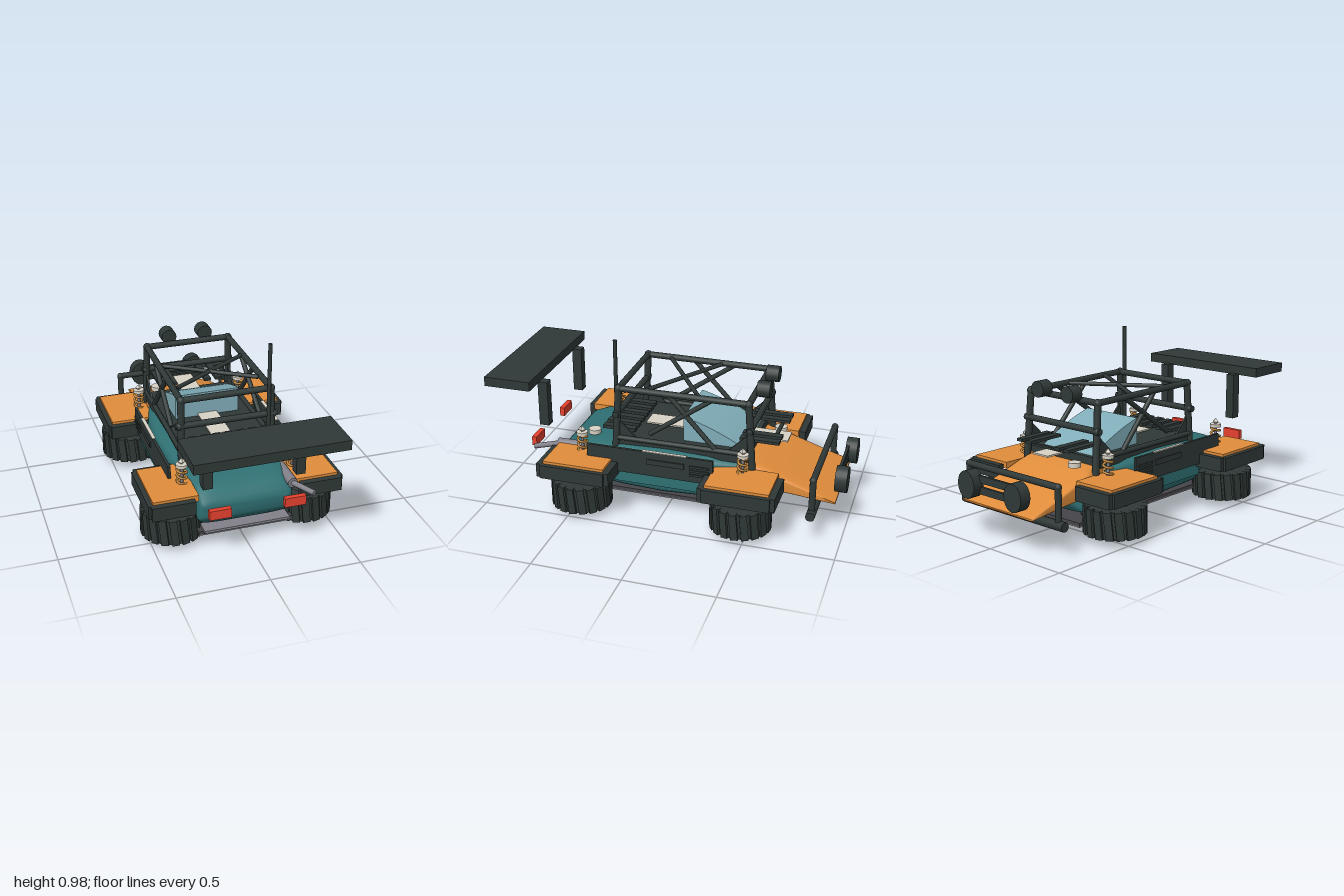
import * as THREE from 'three';

const mat = (name, color) => {
  const m = new THREE.MeshStandardMaterial({ color });
  m.name = name;
  return m;
};

export function createModel() {
  const root = new THREE.Group();
  root.name = 'offRoadBuggy';
  const dark = mat('dark trim', 0x2f3937), teal = mat('teal paint', 0x2f7073);
  const orange = mat('orange paint', 0xe08d3c), glass = mat('pale blue glass', 0x80adb9);
  const red = mat('red lamp', 0xee4430), cream = mat('cream', 0xd8d2c5);
  const grey = mat('grey metal', 0x82818a), floor = mat('underbody grey', 0x46464a);
  const gold = mat('spring gold', 0xc08a42);

  const add = (name, geo, m, x = 0, y = 0, z = 0, parent = root) => {
    const mesh = new THREE.Mesh(geo, m);
    mesh.name = name;
    mesh.position.set(x, y, z);
    parent.add(mesh);
    return mesh;
  };
  // box from its low and high limits on each axis
  const box = (name, m, x0, x1, y0, y1, z0, z1) => add(name,
    new THREE.BoxGeometry(Math.abs(x1 - x0), y1 - y0, z1 - z0), m, (x0 + x1) / 2, (y0 + y1) / 2, (z0 + z1) / 2);
  // round bar between two points
  const rod = (name, m, a, b, r, sides = 12) => {
    const p = new THREE.Vector3(...a), d = new THREE.Vector3(...b).sub(p);
    const mesh = add(name, new THREE.CylinderGeometry(r, r, d.length(), sides), m);
    mesh.position.copy(p).addScaledVector(d, 0.5);
    mesh.quaternion.setFromUnitVectors(new THREE.Vector3(0, 1, 0), d.normalize());
    return mesh;
  };
  // closed shell through rounded sections [z, half width, bottom, top], z falling
  const loft = (name, m, sections, power) => {
    const N = 32, pos = [], idx = [];
    const round = v => Math.sign(v) * Math.abs(v) ** power;
    for (const [z, w, y0, y1] of sections)
      for (let i = 0; i < N; i++) {
        const t = (i + 0.5) / N * Math.PI * 2;
        pos.push(w * round(Math.cos(t)), (y0 + y1) / 2 + (y1 - y0) / 2 * round(Math.sin(t)), z);
      }
    for (let s = 0; s < sections.length - 1; s++)
      for (let i = 0; i < N; i++) {
        const a = s * N + i, b = s * N + (i + 1) % N;
        idx.push(a, a + N, b, b, a + N, b + N);
      }
    // end caps share the rim so the ends stay smooth
    const last = (sections.length - 1) * N;
    for (let i = 1; i < N - 1; i++) idx.push(0, i, i + 1, last, last + i + 1, last + i);
    const g = new THREE.BufferGeometry();
    g.setAttribute('position', new THREE.Float32BufferAttribute(pos, 3));
    g.setIndex(idx);
    g.computeVertexNormals();
    return add(name, g, m);
  };

  // Body, nose and underside
  loft('bodyTub', teal, [[0.638, 0.235, 0.19, 0.262], [0.625, 0.255, 0.165, 0.29], [0.595, 0.265, 0.13, 0.322],
    [0.52, 0.272, 0.12, 0.352], [0.4, 0.285, 0.12, 0.37], [0.25, 0.315, 0.12, 0.385], [0, 0.335, 0.12, 0.39],
    [-0.25, 0.31, 0.12, 0.385], [-0.45, 0.26, 0.12, 0.36], [-0.56, 0.25, 0.13, 0.3]], 0.34);
  loft('noseHood', orange, [[-0.42, 0.262, 0.22, 0.378], [-0.55, 0.262, 0.21, 0.345], [-0.7, 0.262, 0.205, 0.29],
    [-0.85, 0.262, 0.196, 0.236], [-0.95, 0.262, 0.19, 0.203]], 0.25);
  box('skidPlate', floor, -0.265, 0.265, 0.081, 0.1, -0.62, 0.62);
  box('skidPlateBase', grey, -0.264, 0.264, 0.075, 0.081, -0.619, 0.619);
  box('skidPlateLip', grey, -0.24, 0.24, 0.1, 0.114, 0.56, 0.645);
  box('cockpitDeck', dark, -0.265, 0.265, 0.36, 0.41, -0.46, 0.28);
  box('centreStripe', cream, -0.058, 0.058, 0.418, 0.427, -0.64, 0.18);

  // Wedge canopy with a gently bowed top
  const wedge = new THREE.Shape();
  wedge.moveTo(0.08, 0.41);
  wedge.lineTo(0.43, 0.41);
  wedge.quadraticCurveTo(0.26, 0.51, 0.08, 0.555);
  wedge.closePath();
  const canopy = add('canopy', new THREE.ExtrudeGeometry(wedge, { depth: 0.376, bevelEnabled: false, curveSegments: 8 }), glass, -0.188);
  canopy.rotation.y = Math.PI / 2;

  // Louvre slats on both decks
  for (let i = 0; i < 6; i++) {
    const x = -0.175 + i * 0.07;
    box('rearSlat', dark, x - 0.021, x + 0.021, 0.422, 0.442, 0.2, 0.39);
    if (i !== 2 && i !== 3) box('hoodSlat', dark, x - 0.021, x + 0.021, 0.462, 0.478, -0.62, -0.4);
  }
  box('hoodSlatBrace', dark, -0.12, 0.12, 0.444, 0.456, -0.585, -0.565);
  for (const [x, z] of [[0.17, 0.45], [-0.17, -0.555]])
    add('fillerCap', new THREE.CylinderGeometry(0.035, 0.035, 0.026, 20), cream, x, 0.386, z);

  // Wheels lying flat, with tread lugs round the rim
  const wheel = (x, z) => {
    const g = new THREE.Group();
    g.name = 'wheel';
    g.position.set(x, 0.118, z);
    add('tyre', new THREE.CylinderGeometry(0.157, 0.157, 0.148, 36), dark, 0, 0, 0, g);
    for (let i = 0; i < 18; i++) {
      const a = i / 18 * Math.PI * 2;
      const lug = add('treadLug', new THREE.BoxGeometry(0.03, 0.15, 0.041), dark, 0.154 * Math.cos(a), 0, -0.154 * Math.sin(a), g);
      lug.rotation.y = a;
      lug.rotateX(0.1);
    }
    add('innerDisc', new THREE.CylinderGeometry(0.08, 0.08, 0.02, 24), floor, 0, 0.088, 0, g);
    add('rimDisc', new THREE.CylinderGeometry(0.077, 0.077, 0.014, 24), floor, 0, -0.081, 0, g);
    add('rimFace', new THREE.CylinderGeometry(0.074, 0.074, 0.008, 24), grey, 0, -0.092, 0, g);
    add('hub', new THREE.CylinderGeometry(0.037, 0.037, 0.022, 16), cream, 0, -0.107, 0, g);
    if (x > 0) g.rotation.z = Math.PI;
    root.add(g);
  };

  for (const s of [1, -1]) {
    for (const [zw, zf, zs] of [[0.46, 0.453, 0.47], [-0.46, -0.465, -0.45]]) {
      wheel(s * 0.37, zw);
      for (const e of [0.05, -0.05])
        rod('suspensionArm', dark, [s * 0.18, 0.12, zw + e], [s * 0.36, 0.12, zw], 0.018);

      // Fender plate with dark lips
      box('fenderTop', orange, s * 0.265, s * 0.512, 0.297, 0.333, zf - 0.175, zf + 0.175);
      box('fenderSideLip', dark, s * 0.51, s * 0.538, 0.24, 0.318, zf - 0.185, zf + 0.185);
      for (const e of [1, -1])
        box('fenderEndLip', dark, s * 0.29, s * 0.525, 0.24, 0.318, zf + e * 0.192 - 0.018, zf + e * 0.192 + 0.018);

      // Coil-over shock
      const pts = [];
      for (let i = 0; i <= 60; i++) {
        const a = i / 60 * Math.PI * 10;
        pts.push(new THREE.Vector3(0.026 * Math.cos(a), 0.26 + 0.165 * i / 60, 0.026 * Math.sin(a)));
      }
      add('shockSpring', new THREE.TubeGeometry(new THREE.CatmullRomCurve3(pts), 100, 0.007, 6), gold, s * 0.312, 0, zs);
      rod('shockRod', grey, [s * 0.312, 0.2, zs], [s * 0.312, 0.44, zs], 0.009);
      add('shockCap', new THREE.CylinderGeometry(0.032, 0.032, 0.018, 16), cream, s * 0.312, 0.435, zs);
      add('shockTip', new THREE.OctahedronGeometry(0.021), cream, s * 0.312, 0.457, zs);
    }

    // Side sill, guard panel and its vents
    box('sidePlate', teal, s * 0.32, s * 0.35, 0.19, 0.29, -0.29, 0.27);
    box('guardPanel', dark, s * 0.358, s * 0.374, 0.262, 0.405, -0.3, 0.42);
    box('guardVentBase', dark, s * 0.374, s * 0.382, 0.335, 0.365, -0.14, 0.07);
    for (let i = 0; i < 3; i++)
      box('guardLouvre', dark, s * 0.374, s * 0.382, 0.3 + i * 0.025, 0.312 + i * 0.025, -0.28, -0.17);
    box('guardTopStrip', cream, s * 0.354, s * 0.374, 0.404, 0.408, -0.15, 0.1);

    // Wing support and tail lamp
    box('wingSupport', dark, s * 0.226, s * 0.278, 0.432, 0.695, 0.684, 0.74);
    box('tailLamp', red, s * 0.145, s * 0.262, 0.284, 0.337, 0.775, 0.803);

    // Roll cage side
    const rearTop = [s * 0.255, 0.708, 0.27], frontTop = [s * 0.25, 0.708, -0.46];
    rod('cageRearPost', dark, [s * 0.262, 0.36, 0.29], rearTop, 0.02);
    rod('cageFrontPost', dark, [s * 0.26, 0.33, -0.49], frontTop, 0.02);
    rod('cageRoofRail', dark, rearTop, frontTop, 0.018);
    rod('cageLowerRail', dark, [s * 0.265, 0.415, 0.28], [s * 0.26, 0.415, -0.48], 0.014);
    rod('cageSideBrace', dark, [s * 0.26, 0.46, 0.09], [s * 0.255, 0.7, -0.25], 0.014);
    rod('cageSideBrace', dark, [s * 0.255, 0.7, -0.02], [s * 0.26, 0.42, -0.28], 0.014);
    rod('cageRoofBrace', dark, [s * 0.235, 0.708, -0.18], [-s * 0.235, 0.708, 0.12], 0.012);
    for (const p of [rearTop, frontTop, [s * 0.268, 0.56, 0.28], [s * 0.26, 0.56, -0.474]])
      add('cageJoint', new THREE.SphereGeometry(0.023, 12, 8), dark, ...p);

    // Triangular gussets at the foot of the cage
    for (const [z0, z1] of [[0.28, 0.16], [-0.46, -0.34]]) {
      const corners = [[-z0, 0.41], [-z1, 0.41], [-z0, 0.53]].map(p => new THREE.Vector2(...p));
      const gusset = add('cageGusset', new THREE.ExtrudeGeometry(new THREE.Shape(corners), { depth: 0.012, bevelEnabled: false }),
        dark, s * 0.255 - 0.006);
      gusset.rotation.y = Math.PI / 2;
    }

    // Roof lamp, nose lamp and bumper upright
    rod('roofLamp', dark, [s * 0.11, 0.745, -0.475], [s * 0.11, 0.745, -0.547], 0.045, 16);
    const lamp = rod('noseLamp', dark, [s * 0.175, 0.305, -0.935], [s * 0.175, 0.305, -1.0], 0.075, 20);
    lamp.scale.x = 0.84;
    rod('bumperUpright', dark, [s * 0.335, 0.16, -0.838], [s * 0.335, 0.358, -0.838], 0.018);
    add('bumperJoint', new THREE.SphereGeometry(0.02, 12, 8), dark, s * 0.335, 0.358, -0.838);
  }

  // Cage cross bars
  rod('cageRoofBarRear', dark, [-0.255, 0.708, 0.27], [0.255, 0.708, 0.27], 0.018);
  rod('cageRoofBarFront', dark, [-0.25, 0.708, -0.46], [0.25, 0.708, -0.46], 0.018);
  rod('cageMidBarRear', dark, [-0.29, 0.56, 0.28], [0.29, 0.56, 0.28], 0.018);
  rod('cageMidBarFront', dark, [-0.28, 0.56, -0.474], [0.28, 0.56, -0.474], 0.018);

  // Front bumper, wing, antenna and exhaust
  rod('bumperLowerBar', dark, [-0.38, 0.16, -0.838], [0.38, 0.16, -0.838], 0.026);
  rod('bumperUpperBar', dark, [-0.335, 0.358, -0.838], [0.335, 0.358, -0.838], 0.018);
  for (const y of [0.255, 0.315])
    box('noseLampBar', dark, -0.18, 0.18, y, y + 0.04, -0.955, -0.94);
  box('rearWing', dark, -0.405, 0.405, 0.69, 0.743, 0.732, 1.0);
  rod('antenna', dark, [0.237, 0.4, 0.29], [0.237, 0.98, 0.29], 0.011);
  rod('muffler', grey, [0.252, 0.32, 0.45], [0.252, 0.32, 0.64], 0.028, 16);
  rod('tailPipe', grey, [0.252, 0.318, 0.63], [0.325, 0.315, 0.76], 0.015);
  return root;
}
